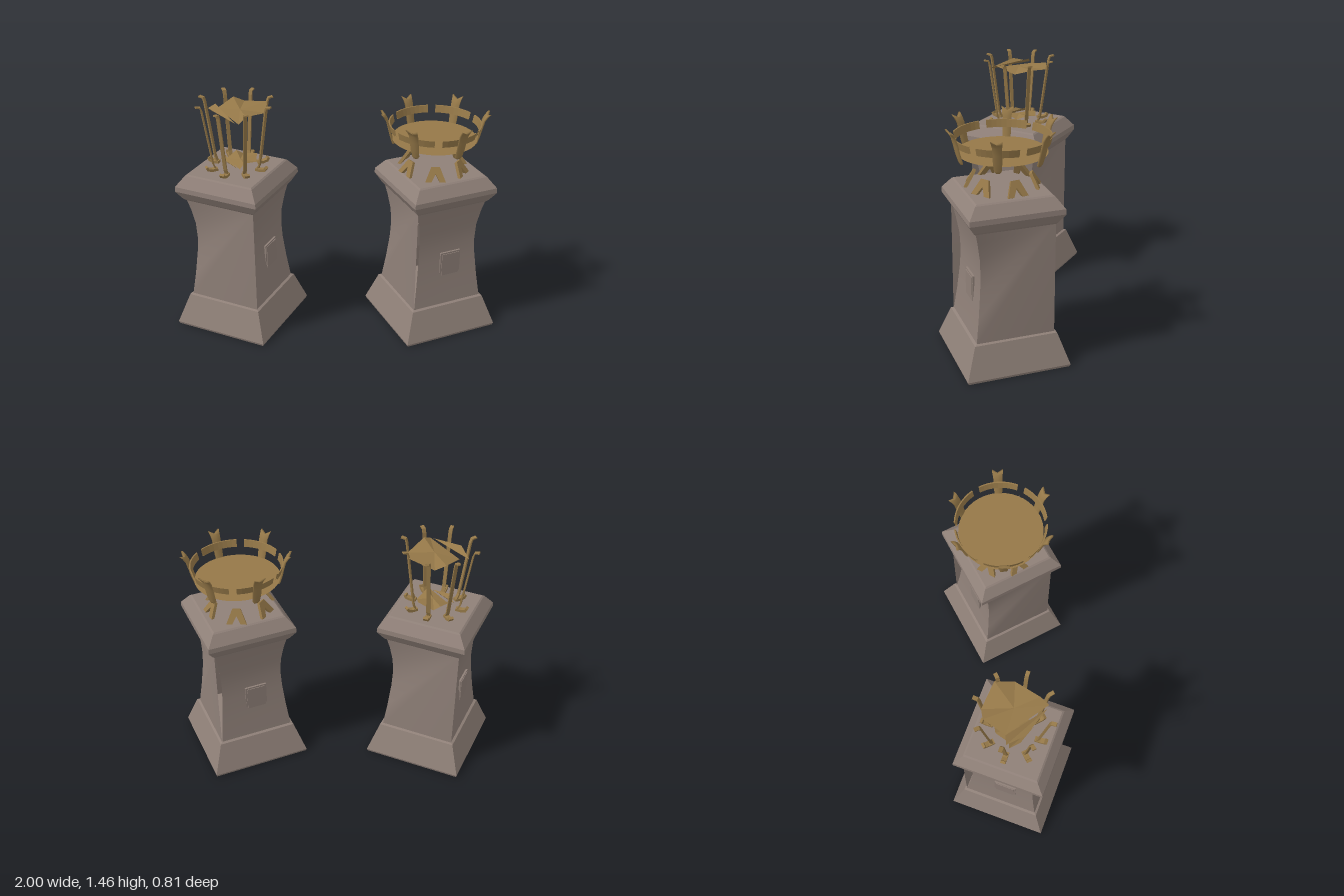
import * as THREE from 'three';

const stone = new THREE.MeshStandardMaterial({ color: 0x8f8078, side: THREE.DoubleSide });
stone.name = 'warm grey stone';
const brass = new THREE.MeshStandardMaterial({ color: 0x957848, side: THREE.DoubleSide });
brass.name = 'aged brass';

function add(parent, name, geometry, material) {
  const mesh = new THREE.Mesh(geometry, material);
  mesh.name = name;
  parent.add(mesh);
  return mesh;
}

// Indexed surface with smooth normals
function surface(points, index) {
  const g = new THREE.BufferGeometry();
  g.setAttribute('position', new THREE.Float32BufferAttribute(points.flat(), 3));
  g.setIndex(index);
  g.computeVertexNormals();
  return g;
}

// Square turned block from [half width, y] rows, with flat faces
function squareTurned(rows) {
  const pts = rows.map(([h, y]) => new THREE.Vector2(h * Math.SQRT2, y));
  const g = new THREE.LatheGeometry(pts, 4, Math.PI / 4).toNonIndexed();
  g.computeVertexNormals();
  return g;
}

// Shaft rows from the top down: [half width, y]
const SHAFT = [[0.228, 0.88], [0.21, 0.8], [0.194, 0.7], [0.19, 0.6], [0.195, 0.5], [0.21, 0.35], [0.229, 0.2]];

function panelFace() {
  const pts = [], index = [];
  SHAFT.forEach(([h, y], i) => {
    pts.push([-h, y, h], [h, y, h]);
    if (i) {
      const a = 2 * i - 2;
      index.push(a, a + 2, a + 1, a + 2, a + 3, a + 1);
    }
  });
  return surface(pts, index);
}

// Side face fanned from one straight corner to the waisted corner
function twistedFace() {
  const h = 0.23;
  const pts = [[h, 0.88, -h], [h, 0.2, -h], ...SHAFT.map(([w, y]) => [w, y, w])];
  const index = [];
  for (let i = 2; i < pts.length - 1; i++) index.push(0, i, i + 1);
  index.push(0, pts.length - 1, 1);
  return surface(pts, index);
}

function pedestal() {
  const group = new THREE.Group();
  group.name = 'pedestal';
  add(group, 'plinth', squareTurned([[0, 0], [0.3, 0], [0.305, 0.015], [0.243, 0.2], [0.225, 0.208], [0, 0.208]]), stone);
  add(group, 'capital', squareTurned([[0, 0.868], [0.23, 0.868], [0.24, 0.88], [0.273, 0.935], [0.271, 0.965], [0.225, 1.028], [0.215, 1.035], [0, 1.035]]), stone);
  for (const turn of [0, Math.PI]) {
    const side = new THREE.Group();
    side.name = 'pedestalSide';
    side.rotation.y = turn;
    add(side, 'panelFace', panelFace(), stone);
    add(side, 'twistedFace', twistedFace(), stone);
    // Raised panel on a slightly larger backing
    const back = add(side, 'panelBorder', new THREE.BoxGeometry(0.135, 0.165, 0.016), stone);
    back.position.set(0.02, 0.47, 0.196);
    const front = add(side, 'panel', new THREE.BoxGeometry(0.115, 0.145, 0.02), stone);
    front.position.set(0.02, 0.47, 0.198);
    group.add(side);
  }
  return group;
}

// Strip of constant width following [radius, y] points, extruded sideways
function radialStrip(path, width, thick) {
  const n = path.length, outer = [], inner = [];
  path.forEach(([r, y], i) => {
    const a = path[Math.max(i - 1, 0)], b = path[Math.min(i + 1, n - 1)];
    const t = new THREE.Vector2(b[0] - a[0], b[1] - a[1]).normalize().multiplyScalar(thick / 2);
    outer.push(new THREE.Vector2(r + t.y, y - t.x));
    inner.unshift(new THREE.Vector2(r - t.y, y + t.x));
  });
  const g = new THREE.ExtrudeGeometry(new THREE.Shape([...outer, ...inner]), { depth: width, bevelEnabled: false });
  return g.translate(0, 0, -width / 2);
}

// Folded sheet with an open slit, inside the tall basket
function foldedPlate(scale, y, fold) {
  const main = [[-0.11, -0.055], [-0.025, -0.17], [0.04, -0.176], [0.183, -0.096], [0.183, 0.016], [0.08, 0.144], [0.04, 0.19]];
  const sliver = [[-0.165, -0.055], [-0.12, -0.055], [0.02, 0.18], [-0.13, 0.05]];
  const lift = ([x, z], i) => [x * scale, y + (i % 2 ? fold : -fold), z * scale];
  const pts = [[0.03 * scale, y, 0], ...main.map(lift), ...sliver.map(lift)];
  const index = [];
  for (let i = 1; i < 7; i++) index.push(0, i + 1, i);
  index.push(0, 1, 7, 8, 10, 9, 8, 11, 10);
  const g = surface(pts, index).toNonIndexed();
  g.computeVertexNormals();
  return g;
}

function tallBasket() {
  const group = new THREE.Group();
  group.name = 'tallBasket';
  const bar = radialStrip([[0.135, 1.045], [0.15, 1.08], [0.2, 1.425], [0.208, 1.448], [0.235, 1.453]], 0.022, 0.009);
  const foot = radialStrip([[0.125, 1.045], [0.16, 1.043], [0.185, 1.05], [0.193, 1.066]], 0.03, 0.016);
  for (let i = 0; i < 8; i++) {
    const a = Math.PI / 8 + i * Math.PI / 4;
    add(group, 'basketBar', bar, brass).rotation.y = a;
    add(group, 'basketFoot', foot, brass).rotation.y = a;
  }
  add(group, 'upperPlate', foldedPlate(1, 1.405, 0.014), brass);
  add(group, 'lowerPlate', foldedPlate(0.62, 1.085, 0.012), brass);
  return group;
}

// Prong: forked at the top, rounded at the bottom, flaring outward
function prongGeometry() {
  const rows = [[1.192, 0.01, 0.247], [1.205, 0.02, 0.252], [1.25, 0.024, 0.266], [1.3, 0.025, 0.278], [1.345, 0.026, 0.29], [1.37, 0.029, 0.305], [1.39, 0.033, 0.322]];
  const pts = [], index = [];
  rows.forEach(([y, w, r], i) => {
    const dip = i === rows.length - 1 ? 0.02 : 0;
    for (const t of [0, 0.012])
      pts.push([r - t, y, w], [r - t - dip * 0.6, y - dip, 0], [r - t, y, -w]);
    if (!i) return;
    const a = i * 6 - 6, b = i * 6;
    for (const [p, q] of [[0, 1], [1, 2], [2, 5], [5, 4], [4, 3], [3, 0]])
      index.push(a + p, a + q, b + p, a + q, b + q, b + p);
  });
  const e = (rows.length - 1) * 6;
  for (const k of [0, 1]) index.push(k, k + 3, k + 1, k + 1, k + 3, k + 4, e + k, e + k + 1, e + k + 3, e + k + 1, e + k + 4, e + k + 3);
  return surface(pts, index);
}

function bandGeometry() {
  const profile = [[0.256, 1.285], [0.264, 1.285], [0.274, 1.328], [0.266, 1.328], [0.256, 1.285]];
  const arc = 0.88;
  const g = new THREE.LatheGeometry(profile.map(p => new THREE.Vector2(...p)), 8, Math.PI / 2 - arc / 2, arc).toNonIndexed();
  g.computeVertexNormals();
  return g;
}

// Arched foot leaning inward
function archFoot() {
  const s = new THREE.Shape([[-0.06, 0], [-0.025, 0], [0, 0.05], [0.025, 0], [0.06, 0], [0.024, 0.092], [-0.024, 0.092]].map(p => new THREE.Vector2(...p)));
  const g = new THREE.ExtrudeGeometry(s, { depth: 0.018, bevelEnabled: false });
  return g.translate(0, 0, -0.009).rotateX(-0.5).rotateY(Math.PI / 2).translate(0.2, 1.033, 0);
}

function fireBowl() {
  const group = new THREE.Group();
  group.name = 'fireBowl';
  const disc = add(group, 'bowlDisc', new THREE.CircleGeometry(0.252, 40), brass);
  disc.rotation.x = -Math.PI / 2;
  disc.position.y = 1.232;
  const prong = prongGeometry(), band = bandGeometry(), foot = archFoot();
  for (let i = 0; i < 6; i++) {
    const a = i * Math.PI / 3;
    add(group, 'bowlProng', prong, brass).rotation.y = a;
    add(group, 'bowlBand', band, brass).rotation.y = a;
    add(group, 'bowlFoot', foot, brass).rotation.y = a + Math.PI / 6;
  }
  return group;
}

export function createModel() {
  const model = new THREE.Group();
  model.name = 'braziers';
  for (const [x, turn, top, topX] of [[-0.598, 1.15, tallBasket(), -0.592], [0.597, 0.42, fireBowl(), 0.582]]) {
    const base = pedestal();
    base.position.x = x;
    base.rotation.y = turn;
    top.position.x = topX;
    model.add(base, top);
  }
  return model;
}
